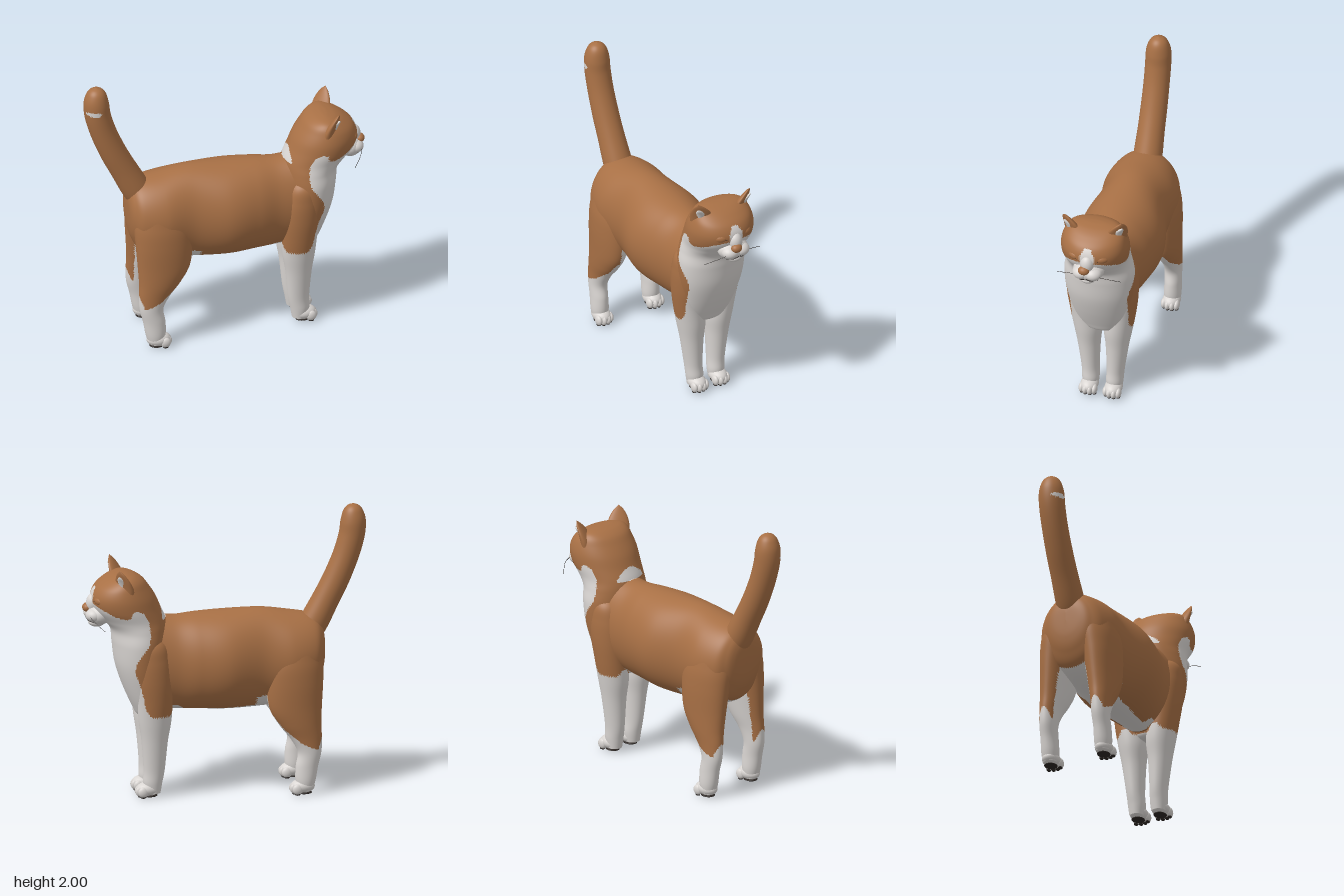
import * as THREE from 'three';

const mat = (name, color) => {
  const m = new THREE.MeshStandardMaterial({ color });
  m.name = name;
  return m;
};
const V = (x, y, z) => new THREE.Vector3(x, y, z);

// Coat markings as side outlines [x, y]
const BIB = [[.54, .6], [.58, .65], [.6, .75], [.62, .83], [.66, .93], [.65, 1], [.62, 1.05], [.565, 1.12],
  [.55, 1.2], [.56, 1.28], [.6, 1.35], [.65, 1.375], [.685, 1.36], [.69, 1.32], [.73, 1.315], [.8, 1.335],
  [.87, 1.37], [.92, 1.395], [1.1, 1.4], [1.1, .6]];
const SOCKS = [[-.8, 0], [-.8, .42], [-.645, .41], [-.61, .32], [-.5, .37], [-.38, .47], [-.28, .6], [-.24, .63],
  [0, .612], [.3, .62], [.34, .66], [.38, .655], [.4, .6], [.8, .601], [.8, 0]];

function inside(poly, x, y) {
  let hit = false;
  poly.forEach(([ax, ay], i) => {
    const [bx, by] = poly[(i + 1) % poly.length];
    if ((ay > y) !== (by > y) && x < ax + (bx - ax) * (y - ay) / (by - ay)) hit = !hit;
  });
  return hit;
}

function isWhite({ x, y, z }) {
  const w = Math.abs(z);
  if (inside(BIB, x, y) || inside(SOCKS, x, y)) return true;
  if (x > .8 && y > 1.38 && y < 1.505 && w < Math.min(.05, .02 + (1.505 - y) * .6)) return true; // blaze
  if (x > .412 && x < .452 && y > 1.272 && w < .145) return true; // nape stripe
  if (y < .75 && x > .42 && w < .12) return true; // inner front legs
  if (y < .74 && x > -.6 && x < -.2 && w < .185) return true; // inner hind legs
  return Math.hypot((x + .93) / .05, (y - 1.83) / .018) < 1 && z > .03; // tail fleck
}

// Smooth interpolation of section rows
function sample(rows, t) {
  const s = t * (rows.length - 1), i = Math.min(Math.floor(s), rows.length - 2), f = s - i;
  const at = k => rows[Math.max(0, Math.min(rows.length - 1, k))];
  return rows[0].map((_, c) => {
    const [p, a, b, q] = [at(i - 1)[c], at(i)[c], at(i + 1)[c], at(i + 2)[c]];
    return a + .5 * f * (b - p + f * (2 * p - 5 * a + 4 * b - q + f * (3 * (a - b) + q - p)));
  });
}

// Skin over rings; point(row, cos, sin) gives a ring point, rule picks the second material
function loft(name, rows, point, materials, rule, steps, sides) {
  const pts = [];
  for (let i = 0; i <= steps; i++) {
    const row = sample(rows, i / steps);
    for (let j = 0; j < sides; j++) {
      const a = j / sides * Math.PI * 2;
      pts.push(point(row, Math.cos(a), Math.sin(a)));
    }
  }
  const faces = [];
  for (let i = 0; i < steps; i++) for (let j = 0; j < sides; j++) {
    const a = i * sides + j, b = i * sides + (j + 1) % sides;
    faces.push([a, b, a + sides], [b, b + sides, a + sides]);
  }
  // Turn every face outward
  let volume = 0;
  for (const [a, b, c] of faces) volume += pts[a].dot(V().crossVectors(pts[b], pts[c]));
  if (volume < 0) faces.forEach(f => f.reverse());
  const sets = [[], []];
  for (const f of faces) {
    const mid = V(0, 0, 0);
    f.forEach(k => mid.addScaledVector(pts[k], 1 / 3));
    sets[rule && rule(mid) ? 1 : 0].push(...f);
  }
  const geo = new THREE.BufferGeometry().setFromPoints(pts);
  geo.setIndex([...sets[0], ...sets[1]]);
  geo.addGroup(0, sets[0].length, 0);
  geo.addGroup(sets[0].length, sets[1].length, 1);
  geo.computeVertexNormals();
  const mesh = new THREE.Mesh(geo, materials);
  mesh.name = name;
  return mesh;
}

export function createModel() {
  const cat = new THREE.Group();
  cat.name = 'cat';
  const ginger = mat('ginger fur', 0xa87045), white = mat('white fur', 0xd9d5d2), dark = mat('dark skin', 0x2c2623);
  const coat = [ginger, white];
  const blob = (name, m, c, r) => {
    const mesh = new THREE.Mesh(new THREE.SphereGeometry(1, 24, 16), m);
    mesh.name = name;
    mesh.position.set(...c);
    mesh.scale.set(...r);
    cat.add(mesh);
    return mesh;
  };
  const line = (name, m, r, ...p) => {
    const curve = new THREE.CatmullRomCurve3(p.map(q => V(...q)));
    const mesh = new THREE.Mesh(new THREE.TubeGeometry(curve, 12, r, 6), m);
    mesh.name = name;
    cat.add(mesh);
  };

  // Torso: x, bottom, top, half width
  cat.add(loft('torso', [
    [-.692, 1.0, 1.06, 0], [-.685, .88, 1.13, .11], [-.66, .78, 1.19, .175], [-.6, .68, 1.23, .235], [-.45, .62, 1.26, .268],
    [-.25, .595, 1.29, .247], [0, .59, 1.287, .295], [.2, .6, 1.28, .265], [.35, .605, 1.27, .225],
    [.5, .62, 1.285, .215], [.6, .67, 1.28, .2], [.68, .78, 1.22, .15], [.72, .98, 1.02, 0]],
  ([x, lo, hi, w], c, s) => V(x, (lo + hi) / 2 + (hi - lo) / 2 * s, w * c), coat, isWhite, 130, 100));

  // Chest, neck and head: y, back, front, half width
  cat.add(loft('chestNeckHead', [
    [.56, .5, .53, 0], [.58, .43, .61, .12], [.65, .41, .65, .178], [.8, .41, .715, .212], [.95, .405, .762, .238],
    [1.1, .405, .782, .247], [1.2, .405, .795, .232], [1.27, .415, .85, .225], [1.35, .45, .915, .235],
    [1.43, .485, .933, .236], [1.5, .53, .905, .22], [1.55, .57, .845, .195], [1.58, .62, .785, .155],
    [1.593, .67, .73, .08], [1.595, .7, .7, 0]],
  ([y, a, b, w], c, s) => V((a + b) / 2 + (b - a) / 2 * c, y, w * s), coat, isWhite, 130, 100));

  // Tail: x, y, radius, lean of the upward curve
  cat.add(loft('tail', [
    [-.54, 1.04, .09, .65], [-.62, 1.16, .1, .6], [-.71, 1.33, .094, .5], [-.785, 1.48, .092, .44], [-.85, 1.64, .09, .32],
    [-.89, 1.78, .09, .15], [-.9, 1.88, .087, 0], [-.9, 1.95, .068, 0], [-.9, 1.985, .04, 0], [-.9, 2, 0, 0]],
  ([x, y, r, lean], c, s) => V(x + Math.cos(lean) * r * c, y + Math.sin(lean) * r * c, r * s), coat, isWhite, 80, 48));

  // Legs: y, x, z, half depth, half width
  const frontRows = [[.03, .51, .085, .05, .05], [.1, .515, .085, .067, .06], [.2, .505, .09, .074, .062],
    [.4, .503, .1, .091, .08], [.55, .502, .107, .113, .1], [.7, .505, .127, .122, .105], [.85, .515, .145, .13, .104],
    [1, .525, .148, .125, .102], [1.12, .535, .13, .1, .095], [1.2, .55, .11, 0, 0]];
  const hindRows = [[.03, -.53, .205, .05, .05], [.1, -.53, .205, .07, .06], [.2, -.54, .205, .078, .058],
    [.3, -.558, .202, .083, .06], [.4, -.535, .198, .11, .068], [.5, -.495, .19, .147, .085], [.62, -.465, .18, .183, .1],
    [.8, -.46, .165, .2, .118], [.95, -.465, .14, .2, .13], [1.1, -.48, .1, .16, .12], [1.2, -.48, .08, 0, 0]];
  for (const side of [1, -1]) {
    for (const [name, rows, px, pz] of [['frontLeg', frontRows, .545, .085], ['hindLeg', hindRows, -.51, .205]]) {
      cat.add(loft(name, rows, ([y, x, z, a, b], c, s) => V(x + a * c, y, side * (z + b * s)), coat, isWhite, 80, 56));
      // Paw with toes and pads
      blob('paw', white, [px, .058, side * pz], [.085, .05, .062]);
      blob('mainPad', dark, [px - .012, .011, side * pz], [.052, .01, .045]);
      [-.045, -.016, .016, .045].forEach(d => {
        const x = px + .064 - Math.abs(d) * .5;
        blob('toe', white, [x, .044, side * pz + d], [.036, .037, .021]);
        blob('toePad', dark, [x, .01, side * pz + d], [.02, .009, .014]);
      });
    }

    // Ear with pale lining
    const ear = (name, k, shift, m) => loft(name, [
      [.71, 1.48, .15, .075, .045], [.72, 1.53, .157, .078, .04], [.738, 1.585, .172, .067, .028],
      [.755, 1.635, .192, .036, .015], [.765, 1.665, .204, 0, 0]],
    ([x, y, z, a, b], c, s) => V(x + shift * .75 - .55 * k * a * c + .75 * b * s,
      1.575 + (y - 1.575) * (k < 1 ? .55 : 1), side * (z + shift * .5 + .83 * k * a * c + .55 * b * s)), m, null, 24, 24);
    cat.add(ear('ear', 1, 0, coat), ear('earLining', .5, .009, [white, white]));

    // Eyelid and eye slit
    blob('eyelid', ginger, [.885, 1.425, side * .098], [.032, .032, .05]).rotation.y = side * -.45;
    line('eyeSlit', dark, .003, [.921, 1.413, side * .068], [.914, 1.42, side * .09], [.891, 1.43, side * .135]);

    // Muzzle cheek, mouth line and whisker
    blob('muzzleCheek', white, [.913, 1.31, side * .042], [.062, .048, .062]);
    line('mouth', dark, .003, [.967, 1.29, side * .004], [.955, 1.272, side * .03], [.925, 1.268, side * .08]);
    line('whisker', dark, .0015, [.95, 1.31, side * .08], [.93, 1.29, side * .15], [.87, 1.24, side * .225]);
  }

  // Muzzle centre
  blob('muzzle', white, [.875, 1.31, 0], [.09, .078, .11]);
  blob('noseBridge', white, [.912, 1.385, 0], [.052, .07, .05]);
  blob('chin', white, [.89, 1.253, 0], [.06, .035, .06]);
  blob('nose', ginger, [.954, 1.353, .014], [.034, .032, .04]);
  return cat;
}
